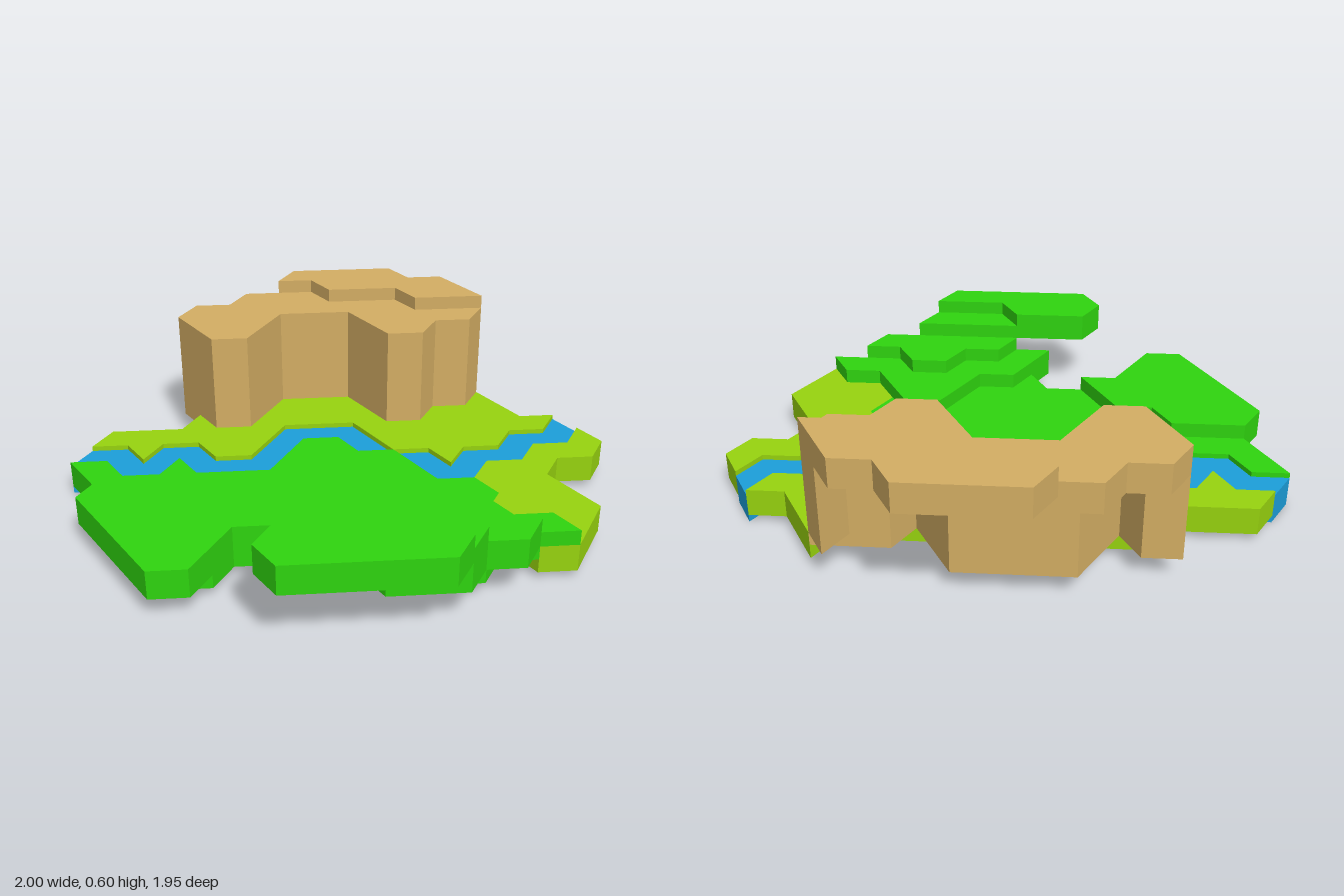
import * as THREE from 'three';

// Outlines are given on a hexagonal lattice: column i and row k.
const COL = 0.125, ROW = 0.07217, Z0 = 0.0325;
const paint = (color) => new THREE.MeshStandardMaterial({ color, flatShading: true });

// Flat slab: lattice outline raised from height y0 to y1.
function slab(name, material, y0, y1, outline) {
  const shape = new THREE.Shape(
    outline.map(([i, k]) => new THREE.Vector2(i * COL, -(Z0 + k * ROW))));
  const geo = new THREE.ExtrudeGeometry(shape, { depth: y1 - y0, bevelEnabled: false });
  geo.rotateX(-Math.PI / 2).translate(0, y0, 0);
  const mesh = new THREE.Mesh(geo, material);
  mesh.name = name;
  return mesh;
}

export function createModel() {
  const model = new THREE.Group();
  model.name = 'hexTerrain';
  const water = paint(0x1c9fda), meadow = paint(0x98d40f);
  const grass = paint(0x2fd50f), rock = paint(0xd4ae64);

  // Both banks of the river, from the back left to the right
  const northBank = [[-6, -11], [-5, -10], [-5, -8], [-4, -9], [-3, -8], [-3, -6], [-2, -5], [0, -7],
    [2, -5], [2, -1], [3, 0], [3, 2], [4, 1], [5, 2], [6, 1], [7, 2], [8, 1]];
  const upperSouth = [[-7, -10], [-6, -9], [-6, -7], [-5, -6], [-4, -7], [-4, -5], [-2, -3], [0, -5],
    [1, -4], [1, -2], [2, -1], [2, 3], [3, 4]];
  const lowerSouth = [[3, 4], [4, 3], [5, 4], [6, 3], [7, 4], [8, 3]];
  const southBank = [...upperSouth, ...lowerSouth.slice(1)];

  model.add(
    slab('river', water, 0, 0.12, [...northBank, ...southBank.reverse()]),

    // Light meadow on either side of the river
    slab('northMeadow', meadow, 0.03, 0.14, [...northBank, [7, 0], [7, -4], [6, -3], [3, -6], [3, -8],
      [1, -10], [0, -9], [-2, -11], [-3, -10], [-5, -12]]),
    slab('southMeadow', meadow, 0.03, 0.14, [...lowerSouth, [8, 5], [7, 6], [6, 5], [5, 6], [5, 10],
      [3, 12], [2, 11], [2, 7], [3, 6]]),

    // Green lowland and its raised terraces
    slab('grassBase', grass, 0.03, 0.14, [...upperSouth, [3, 6], [2, 7], [1, 8], [-1, 6], [-2, 7],
      [-3, 6], [-3, 4], [-5, 2], [-6, 3], [-7, 2]]),
    slab('westTerrace', grass, 0.085, 0.2, [[-8, -5], [-7, -6], [-6, -5], [-5, -4], [-5, -2], [-4, -1],
      [-4, 3], [-5, 2], [-7, 4], [-8, 3]]),
    slab('frontTerraceLow', grass, 0.085, 0.2, [[-4, 7], [-2, 5], [-1, 6], [1, 4], [2, 5], [2, 9],
      [3, 10], [3, 12], [1, 10], [0, 11], [-3, 8]]),
    slab('frontTerraceMiddle', grass, 0.14, 0.257, [[-3, 8], [-2, 7], [-1, 8], [0, 7], [1, 8], [1, 10],
      [2, 11], [1, 12], [0, 11], [-1, 12], [-3, 10]]),
    slab('frontTerraceHigh', grass, 0.2, 0.315, [[-3, 8], [0, 11], [-1, 12], [-3, 10]]),
    slab('frontTerraceTop', grass, 0.257, 0.37, [[-6, 7], [-5, 6], [-3, 8], [-3, 10], [-1, 12],
      [-2, 13], [-6, 9]]),

    // Cliff: tall body, corner pillar and two overhanging caps
    slab('cliffBody', rock, 0.087, 0.44, [[-2, -13], [-1, -12], [-1, -10], [1, -12], [4, -9], [4, -5],
      [5, -6], [7, -4], [6, -3], [5, -4], [4, -3], [3, -4], [3, -8], [1, -10], [-1, -8], [-2, -9]]),
    slab('cliffPillar', rock, 0.14, 0.5, [[7, -4], [7, -6], [6, -5], [5, -6], [5, -4], [6, -3]]),
    slab('cliffCap', rock, 0.43, 0.545, [[-2, -13], [-1, -14], [0, -13], [1, -14], [3, -12], [3, -10],
      [5, -8], [5, -6], [7, -4], [6, -3], [5, -4], [4, -3], [3, -4], [3, -8], [1, -10], [-1, -8], [-2, -9]]),
    slab('cliffTop', rock, 0.488, 0.6, [[2, -13], [3, -14], [6, -11], [6, -9], [7, -8], [7, -4],
      [5, -6], [5, -8], [3, -10], [3, -12]]),
  );
  return model;
}
